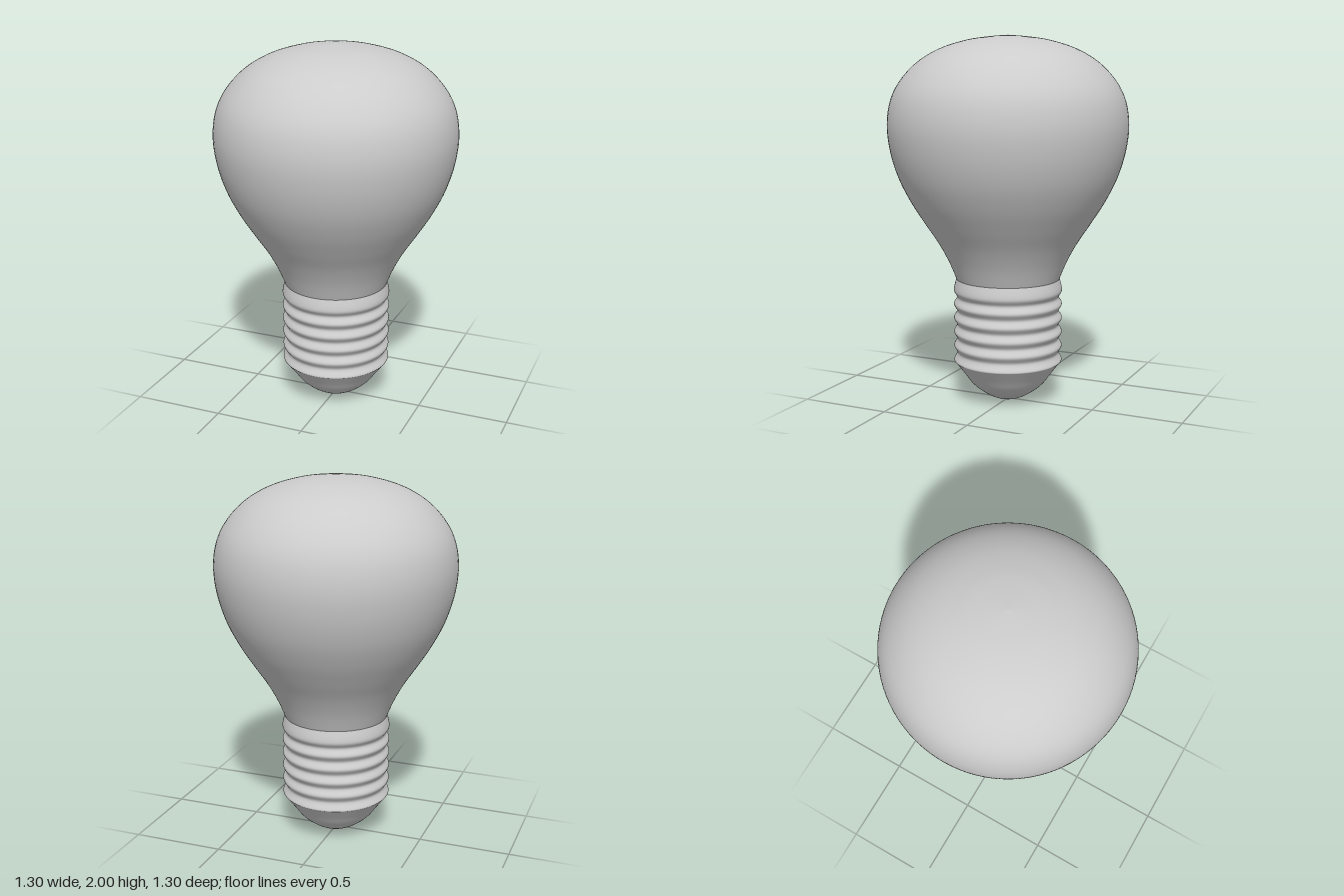
import * as THREE from 'three';

const SEGMENTS = 96;

// Smooth profile through [radius, height] points, listed from bottom to top
function smoothProfile(points, count) {
  const curve = new THREE.SplineCurve(points.map(([r, y]) => new THREE.Vector2(r, y)));
  return curve.getPoints(count).map((p) => new THREE.Vector2(Math.max(p.x, 0), p.y));
}

function turned(name, profile, material) {
  const mesh = new THREE.Mesh(new THREE.LatheGeometry(profile, SEGMENTS), material);
  mesh.name = name;
  return mesh;
}

export function createModel() {
  const model = new THREE.Group();
  model.name = 'lightBulb';
  const grey = new THREE.MeshStandardMaterial({ color: 0xcccccc });
  grey.name = 'light grey';

  // Rounded contact tip under the screw base
  const tip = smoothProfile([
    [0, 0], [0.07, 0.013], [0.14, 0.05], [0.2, 0.1], [0.245, 0.16], [0.291, 0.22],
  ], 30);
  model.add(turned('contactTip', tip, grey));

  // Screw base: six evenly spaced rounded ridges
  const ridges = 6, spacing = 0.078, lowest = 0.232;
  const thread = [[0.291, 0.22]];
  for (let i = 0; i < ridges; i++) {
    const y = lowest + i * spacing;
    thread.push([0.297, y]);
    if (i < ridges - 1) thread.push([0.279, y + spacing / 2]);
  }
  thread.push([0.283, 0.685]);
  model.add(turned('screwBase', smoothProfile(thread, 120), grey));

  // Glass envelope, flaring from the neck to a wide, gently peaked crown
  const glass = smoothProfile([
    [0.283, 0.685], [0.325, 0.785], [0.382, 0.89], [0.455, 1.0], [0.53, 1.12],
    [0.593, 1.25], [0.634, 1.39], [0.648, 1.53], [0.627, 1.66], [0.572, 1.765],
    [0.48, 1.86], [0.36, 1.93], [0.22, 1.974], [0.1, 1.992], [0, 2],
  ], 90);
  model.add(turned('glassEnvelope', glass, grey));

  return model;
}
